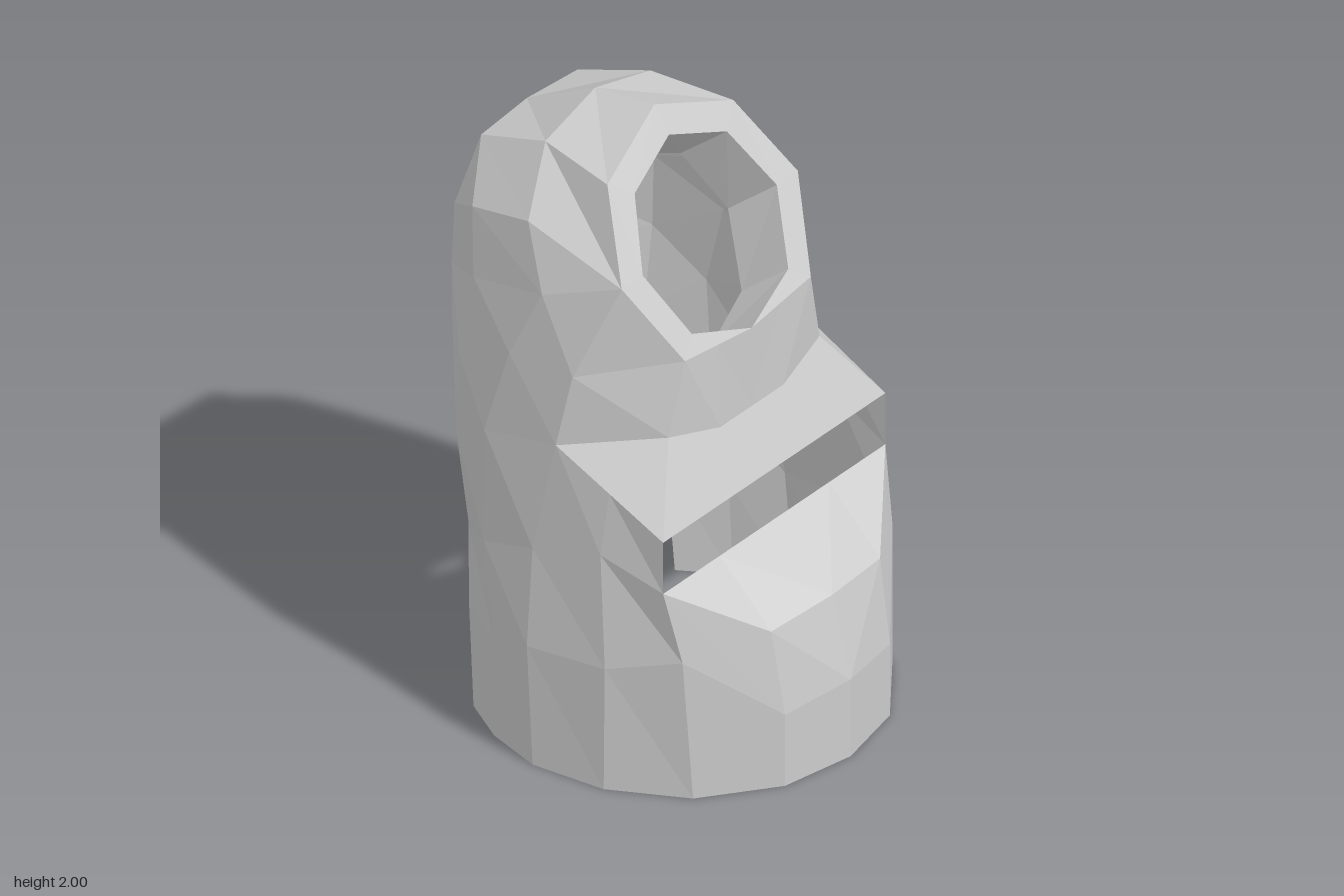
import * as THREE from 'three';

const material = new THREE.MeshStandardMaterial({
  color: 0xcccccc, flatShading: true, side: THREE.DoubleSide,
});

// Skin neighbouring columns of [x, y, z] points with facets, mirrored across x = 0.
// Repeated points let a strip taper into triangles.
function loft(name, columns) {
  const positions = [];
  const same = (p, q) => p.every((v, i) => v === q[i]);
  const triangle = (a, b, c) => {
    if (same(a, b) || same(b, c) || same(a, c)) return;
    positions.push(...a, ...b, ...c);
    for (const [x, y, z] of [a, c, b]) positions.push(-x, y, z);
  };
  for (let i = 0; i < columns.length - 1; i++) {
    const near = columns[i], far = columns[i + 1];
    for (let j = 0; j < near.length - 1; j++) {
      triangle(near[j], far[j], far[j + 1]);
      triangle(near[j], far[j + 1], near[j + 1]);
    }
  }
  const geometry = new THREE.BufferGeometry();
  geometry.setAttribute('position', new THREE.Float32BufferAttribute(positions, 3));
  geometry.computeVertexNormals();
  const mesh = new THREE.Mesh(geometry, material);
  mesh.name = name;
  return mesh;
}

export function createModel() {
  const group = new THREE.Group();
  group.name = 'hollowShell';

  // Shared corners
  const slotBottom = [0.53, 0.72, 0.4], slotTop = [0.53, 0.9, 0.4];
  const shoulder = [0.54, 1.09, 0], neckSide = [0.51, 1.33, 0.04];
  const shelfCorner = [0.36, 1.14, 0.285];
  const crown = [0, 1.83, -0.54], crownSide = [0.23, 1.82, -0.53];

  // Octagonal opening, from bottom centre round to top centre
  const rimOuter = [[0, 1.36, 0.315], [0.3, 1.385, 0.3], [0.42, 1.64, 0.155],
    [0.3, 1.89, 0.005], [0, 2, -0.055]];
  const rimInner = [[0, 1.36, 0.315], [0.23, 1.435, 0.27], [0.32, 1.64, 0.155],
    [0.22, 1.835, 0.045], [0, 1.915, 0]];
  const throat = rimInner.map(([x, y, z]) => [x * 0.88, y - 0.125, z - 0.155]);
  group.add(loft('openingRim', [rimInner, rimOuter]));
  group.add(loft('openingThroat', [throat, rimInner]));

  // Front skirt with the sloping ledge under the slot
  const skirtCorner = [[0.475, 0, 0.47], [0.5, 0.48, 0.45], slotBottom];
  group.add(loft('frontSkirt', [
    [[0, 0, 0.69], [0, 0.27, 0.69], [0, 0.54, 0.62], [0, 0.72, 0.4]],
    [[0.25, 0, 0.64], [0.25, 0.25, 0.64], [0.26, 0.53, 0.595], [0.26, 0.72, 0.4]],
    [...skirtCorner, slotBottom],
  ]));

  // Shelf above the slot and the neck up to the rim
  const neckCorner = [slotTop, shelfCorner, rimOuter[1]];
  group.add(loft('frontNeck', [
    [[0, 0.9, 0.4], [0, 1.085, 0.315], rimOuter[0]],
    [[0.15, 0.9, 0.4], [0.15, 1.085, 0.315], [0.15, 1.3725, 0.3075]],
    neckCorner,
  ]));
  group.add(loft('neckSide', [
    [...neckCorner, rimOuter[2]],
    [slotTop, shoulder, neckSide, rimOuter[2]],
  ]));

  // Side columns, from the floor to the crown
  const sideColumn = [[0.625, 0, -0.02], [0.615, 0.4, -0.05], [0.575, 0.72, -0.06],
    shoulder, neckSide, rimOuter[2], rimOuter[2], rimOuter[3], rimOuter[4]];
  const rearSideColumn = [[0.57, 0, -0.21], [0.56, 0.33, -0.22], [0.545, 0.65, -0.27],
    [0.53, 1.03, -0.28], [0.51, 1.32, -0.2], [0.48, 1.55, -0.1],
    [0.42, 1.74, -0.2], [0.25, 1.91, -0.27], [0, 1.97, -0.28]];
  const cornerColumn = [[0.48, 0, -0.36], [0.47, 0.35, -0.385], [0.45, 0.6, -0.4],
    [0.45, 0.92, -0.45], [0.46, 1.2, -0.43], [0.43, 1.47, -0.4],
    [0.385, 1.68, -0.44], crownSide, crown];
  group.add(loft('sideWall', [
    [...skirtCorner, slotTop],
    [[0.6, 0, 0.23], [0.595, 0.42, 0.23], [0.565, 0.79, 0.19], [0.535, 0.995, 0.2]],
    sideColumn.slice(0, 4),
  ]));
  group.add(loft('rearSideAndCrown', [sideColumn, rearSideColumn, cornerColumn]));

  // Back wall, raised off the floor
  group.add(loft('backWall', [
    cornerColumn.slice(1, 8),
    [[0.27, 0.43, -0.5], [0.28, 0.68, -0.54], [0.28, 0.94, -0.57],
      [0.28, 1.17, -0.6], [0.27, 1.36, -0.61], [0.27, 1.57, -0.6], crownSide],
    [[0, 0.43, -0.57], [0, 0.65, -0.62], [0, 0.94, -0.665],
      [0, 1.14, -0.69], [0, 1.35, -0.68], [0, 1.55, -0.67], crown],
  ]));

  return group;
}
